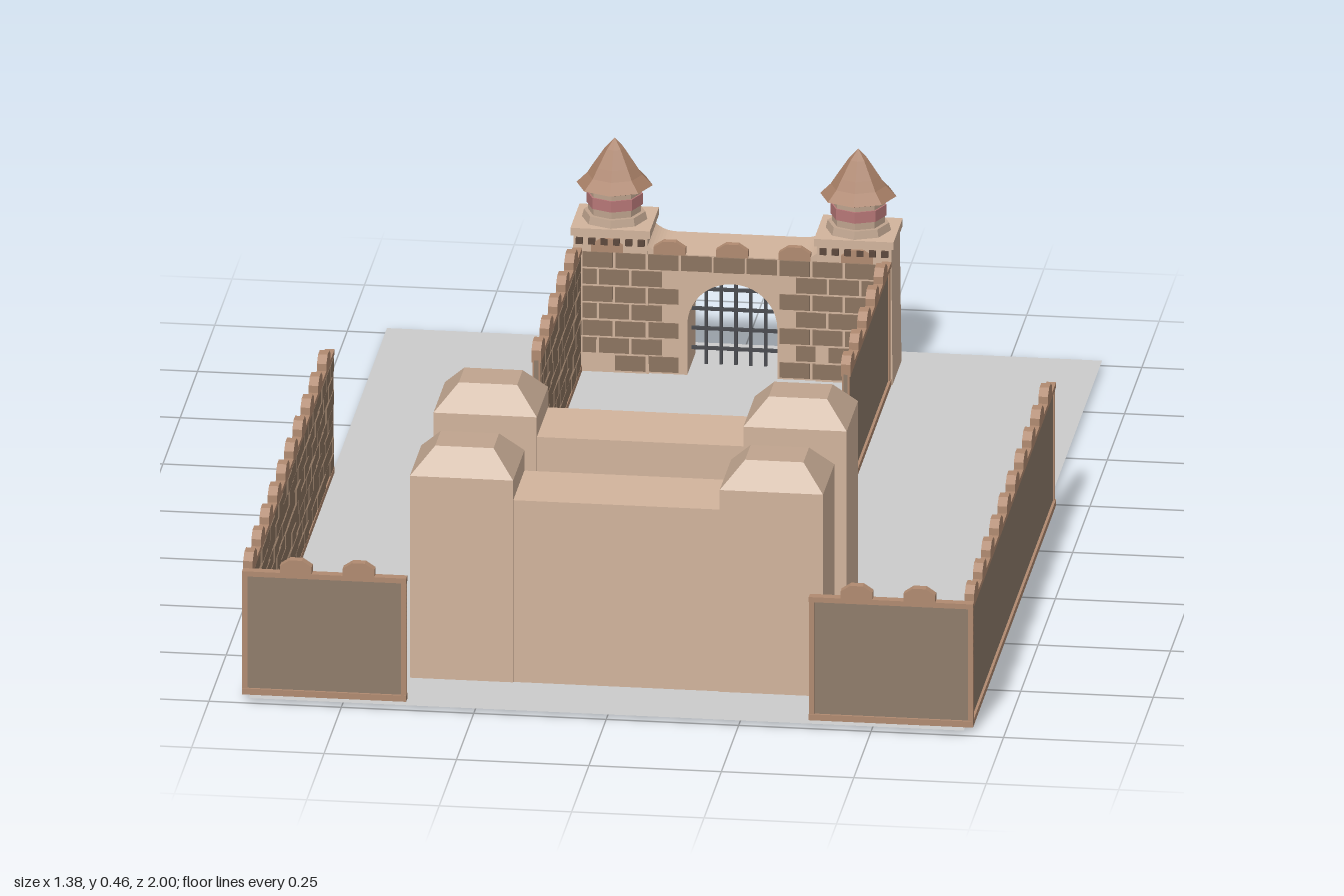
import * as THREE from 'three';
import { mergeGeometries } from 'three/addons/utils/BufferGeometryUtils.js';

const mat = (color) => new THREE.MeshStandardMaterial({ color, flatShading: true, side: THREE.DoubleSide });
const M = {
  ground: new THREE.MeshStandardMaterial({ color: 0xcccccc, side: THREE.DoubleSide }),
  tan: mat(0xd2b49c), trim: mat(0xb08a70), panel: mat(0x8f7c6b), brick: mat(0x8c7460),
  roof: mat(0xa98067), cap: mat(0xbfa48e), band: mat(0xb87878), iron: mat(0x4a4c50),
  glass: mat(0x7fa0b8), dark: mat(0x5c483c),
};

const mesh = (parent, name, geo, m) => {
  const o = new THREE.Mesh(geo, m);
  o.name = name;
  parent.add(o);
  return o;
};
const group = (parent, name, x = 0, y = 0, z = 0) => {
  const g = new THREE.Group();
  g.name = name;
  g.position.set(x, y, z);
  parent.add(g);
  return g;
};
// Box given by its centre in x and z, and by its bottom and top in y
const box = (w, y0, y1, d, x = 0, z = 0) =>
  new THREE.BoxGeometry(w, y1 - y0, d).translate(x, (y0 + y1) / 2, z);

// Box whose top is narrower than its bottom
function frustum(w, d, tw, td, y0, y1, x, z) {
  const g = new THREE.BoxGeometry(w, y1 - y0, d);
  const p = g.attributes.position;
  for (let i = 0; i < p.count; i++)
    if (p.getY(i) > 0) p.setXYZ(i, p.getX(i) * tw / w, p.getY(i), p.getZ(i) * td / d);
  g.computeVertexNormals();
  return g.translate(x, (y0 + y1) / 2, z);
}

function extrude(shape, depth) {
  return new THREE.ExtrudeGeometry(shape, { depth, bevelEnabled: false, curveSegments: 10 })
    .translate(0, 0, -depth / 2);
}

// Outline of a round arch standing on y0
function archPath(path, r, y0, spring) {
  path.moveTo(-r, y0);
  path.lineTo(r, y0);
  path.lineTo(r, spring);
  path.absarc(0, spring, r, 0, Math.PI, false);
  path.lineTo(-r, y0);
  return path;
}

// Pointed battlement with sloped shoulders
function merlon(x, y, depth) {
  const s = new THREE.Shape([[-0.03, 0], [0.03, 0], [0.03, 0.014], [0.012, 0.026], [-0.012, 0.026], [-0.03, 0.014]]
    .map(([a, b]) => new THREE.Vector2(a, b)));
  return extrude(s, depth).translate(x, y, 0);
}

// Running-bond stonework in relief on a +z face
function bricks(L, y0, y1, z, skip = () => false) {
  const parts = [], h = (y1 - y0) / 7, len = 0.062;
  let seed = 7;
  for (let r = 0; r < 7; r++) {
    for (let x = -L / 2 - (r % 2) * len / 2; x < L / 2 - 0.005; x += len) {
      const a = Math.max(x, -L / 2), b = Math.min(x + len, L / 2), y = y0 + r * h;
      seed = (seed * 16807) % 2147483647;
      const d = 0.003 + 0.003 * (seed / 2147483647);
      if (b - a > 0.012 && !skip(a, b, y, y + h))
        parts.push(box(b - a - 0.005, y + 0.002, y + h - 0.002, d, (a + b) / 2, z + d / 2));
    }
  }
  return mergeGeometries(parts);
}

// Boundary wall: smooth panel, rails, end posts, battlements, stonework on its local +z side
function wall(parent, name, L, x, z, turn, dir, off, n) {
  const g = group(parent, name, x, 0, z);
  g.rotation.y = turn;
  mesh(g, 'wallPanel', box(L, 0.012, 0.25, 0.008), M.panel);
  mesh(g, 'wallFrame', mergeGeometries([
    box(L, 0.01, 0.022, 0.018), box(L, 0.246, 0.256, 0.018),
    box(0.01, 0.022, 0.246, 0.014, L / 2 - 0.005), box(0.01, 0.022, 0.246, 0.014, 0.005 - L / 2),
  ]), M.trim);
  mesh(g, 'stonework', bricks(L - 0.02, 0.022, 0.246, 0.004), M.brick);
  mesh(g, 'battlements', mergeGeometries(
    Array.from({ length: n }, (_, i) => merlon(dir * (L / 2 - off - i * 0.1185), 0.256, 0.018))), M.trim);
}

// Row of small blocks under a parapet
const dentils = (w, n, x, y, z) => mergeGeometries(
  Array.from({ length: n }, (_, i) => box(w / n * 0.55, y, y + 0.012, 0.008, x + w * ((i + 0.5) / n - 0.5), z)));

// Iron lattice filling an arch
function grille(r, spring, step, t) {
  const parts = [];
  for (let x = -r + step; x < r - 0.001; x += step)
    parts.push(box(t, 0.012, spring + Math.sqrt(r * r - x * x), t, x));
  for (let y = 0.012 + step; y < spring + r * 0.9; y += step * 1.4) {
    const w = y < spring ? r : Math.sqrt(r * r - (y - spring) ** 2);
    parts.push(box(2 * w, y, y + t, t));
  }
  return mergeGeometries(parts);
}

function hall(parent, name, z) {
  const g = group(parent, name, 0, 0, z);
  mesh(g, 'hallBody', box(0.39, 0, 0.373, 0.16), M.tan);
  for (const s of [-1, 1]) {
    mesh(g, 'hallTower', box(0.195, 0, 0.413, 0.165, s * 0.2925), M.tan);
    mesh(g, 'hallTowerRoof', frustum(0.195, 0.165, 0.11, 0.08, 0.413, 0.46, s * 0.2925, 0), M.cap);
    mesh(g, 'hallDentils', dentils(0.18, 6, s * 0.2925, 0.375, -0.084), M.dark);
  }
}

// Stepped gable in front of the inner hall
function annex(parent) {
  const s = new THREE.Shape();
  s.moveTo(-0.31, 0);
  s.lineTo(0.31, 0);
  s.lineTo(0.31, 0.255);
  s.lineTo(0.22, 0.262);
  s.bezierCurveTo(0.16, 0.265, 0.14, 0.304, 0.07, 0.304);
  s.lineTo(-0.07, 0.304);
  s.bezierCurveTo(-0.14, 0.304, -0.16, 0.265, -0.22, 0.262);
  s.lineTo(-0.31, 0.255);
  mesh(parent, 'annex', extrude(s, 0.105).translate(0, 0, 0.297), M.tan);
}

function porch(parent) {
  const g = group(parent, 'porch', 0, 0, 0.195);
  const s = new THREE.Shape([[-0.11, 0], [-0.045, 0], [-0.045, 0.09]].map(([a, b]) => new THREE.Vector2(a, b)));
  s.absarc(0, 0.09, 0.045, Math.PI, 0, true);
  for (const [a, b] of [[0.045, 0], [0.11, 0], [0.11, 0.17], [-0.11, 0.17]]) s.lineTo(a, b);
  mesh(g, 'porchEntrance', extrude(s, 0.08), M.tan);
  mesh(g, 'porchDoor', grille(0.045, 0.09, 0.015, 0.004).translate(0, 0, -0.03), M.iron);
  mesh(g, 'porchDoorBack', box(0.09, 0.01, 0.14, 0.004, 0, 0.03), M.dark);
  for (const x of [-0.155, 0.155]) {
    mesh(g, 'porchTower', box(0.1, 0, 0.2, 0.09, x), M.tan);
    mesh(g, 'porchTowerTop', box(0.106, 0.195, 0.208, 0.096, x), M.cap);
    mesh(g, 'porchDentils', dentils(0.1, 4, x, 0.178, -0.047), M.dark);
    const w = archPath(new THREE.Shape(), 0.021, 0.07, 0.12);
    mesh(g, 'porchWindow', extrude(w, 0.006).translate(x, 0, -0.045), M.glass);
    mesh(g, 'windowBars', mergeGeometries([
      box(0.003, 0.07, 0.14, 0.01, x, -0.045), box(0.042, 0.1, 0.103, 0.01, x, -0.045),
      box(0.052, 0.064, 0.07, 0.012, x, -0.045)]), M.iron);
  }
}

function gatehouse(parent) {
  const g = group(parent, 'gatehouse', 0, 0, -0.885);
  const R = 0.085, spring = 0.11;
  // Arched middle with curved shoulders against the towers
  const s = new THREE.Shape([[-0.17, 0.005], [-R, 0.005], [-R, spring]].map(([a, b]) => new THREE.Vector2(a, b)));
  s.absarc(0, spring, R, Math.PI, 0, true);
  s.lineTo(R, 0.005);
  s.lineTo(0.17, 0.005);
  s.lineTo(0.17, 0.275);
  s.quadraticCurveTo(0.15, 0.25, 0.12, 0.25);
  s.lineTo(-0.12, 0.25);
  s.quadraticCurveTo(-0.15, 0.25, -0.17, 0.275);
  mesh(g, 'gateArch', extrude(s, 0.122), M.tan);
  mesh(g, 'portcullis', grille(R, spring, 0.028, 0.006), M.iron);
  // Stonework and battlements towards the courtyard
  const skip = (a, b, y) => a < R && b > -R && y < spring + R;
  mesh(g, 'gateStonework', bricks(0.57, 0.012, 0.25, 0.06, skip), M.brick);
  mesh(g, 'gateBattlements', mergeGeometries(
    [-0.236, -0.118, 0, 0.118, 0.236].map((x) => merlon(x, 0.25, 0.014).translate(0, 0, 0.06))), M.trim);
  // Roof with flared eaves
  const profile = [[0.05, 0.355], [0.072, 0.363], [0.052, 0.383], [0.04, 0.402], [0.018, 0.435], [0, 0.455]]
    .map(([r, y]) => new THREE.Vector2(r, y));
  for (const x of [-0.23, 0.23]) {
    const t = group(g, 'gateTower', x);
    mesh(t, 'towerBody', frustum(0.146, 0.13, 0.14, 0.122, 0, 0.285, 0, 0), M.tan);
    mesh(t, 'towerTop', box(0.15, 0.28, 0.295, 0.132), M.tan);
    for (const z of [-0.064, 0.064]) mesh(t, 'towerDentils', dentils(0.14, 6, 0, 0.264, z), M.dark);
    mesh(t, 'turretBase', new THREE.CylinderGeometry(0.058, 0.062, 0.016, 8).translate(0, 0.302, 0), M.cap);
    mesh(t, 'turretDrum', new THREE.CylinderGeometry(0.05, 0.05, 0.06, 8).translate(0, 0.335, 0), M.cap);
    mesh(t, 'turretBand', new THREE.CylinderGeometry(0.053, 0.053, 0.022, 8).translate(0, 0.335, 0), M.band);
    mesh(t, 'turretRoof', new THREE.LatheGeometry(profile, 8), M.roof);
  }
}

export function createModel() {
  const root = new THREE.Group();
  root.name = 'fortress';
  mesh(root, 'ground', new THREE.PlaneGeometry(1.35, 2).rotateX(-Math.PI / 2).translate(0, 0.01, 0), M.ground);
  hall(root, 'frontHall', 0.77);
  hall(root, 'innerHall', 0.428);
  annex(root);
  porch(root);
  gatehouse(root);
  for (const s of [-1, 1]) {
    wall(root, 'outerWall', 1.185, s * 0.681, 0.372, -s * Math.PI / 2, s, 0.03, 10);
    wall(root, 'innerWall', 0.595, s * 0.292, -0.522, -s * Math.PI / 2, s, 0.03, 5);
    wall(root, 'frontWall', 0.31, s * 0.535, 0.973, Math.PI, s, 0.09, 2);
  }
  return root;
}
